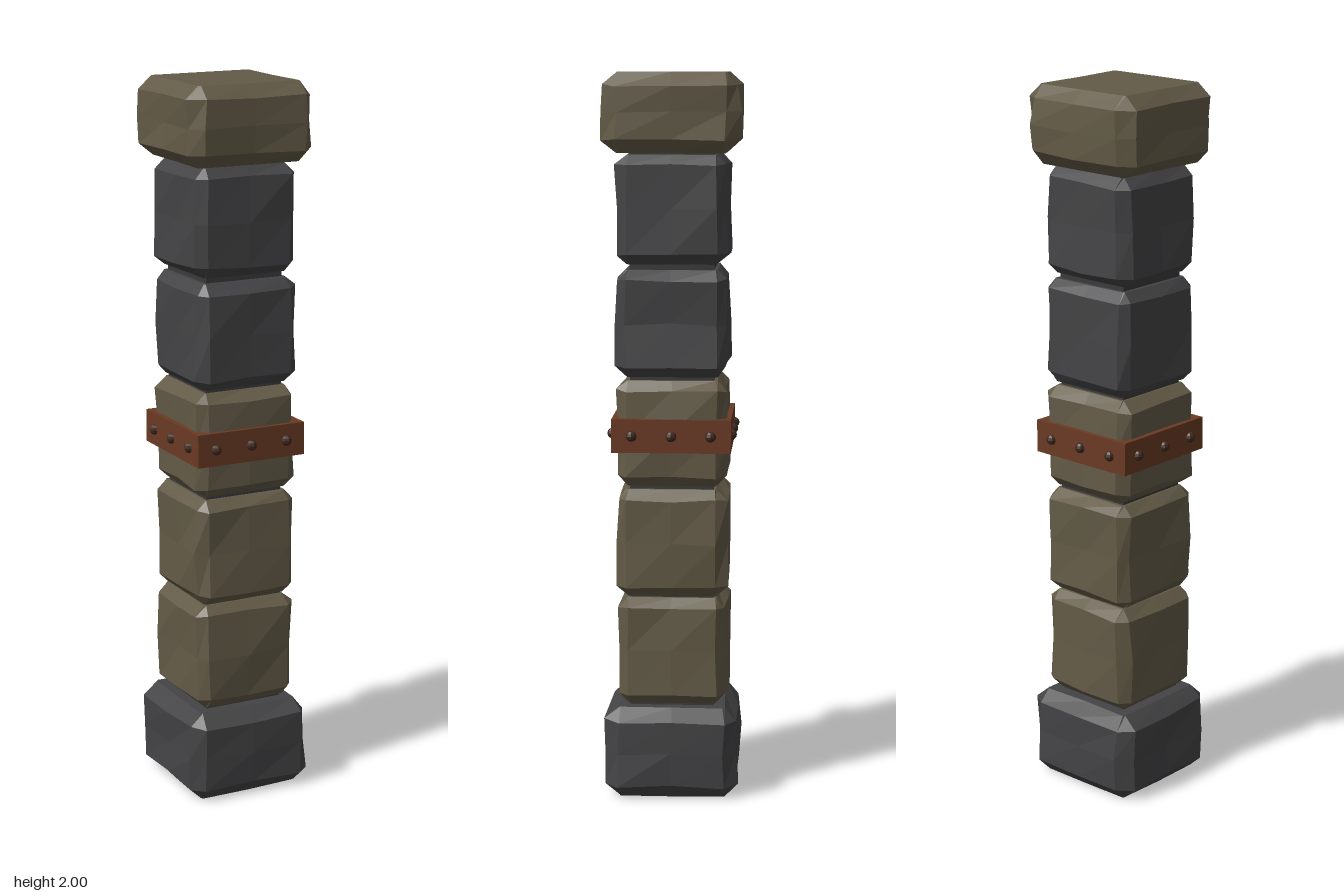
import * as THREE from 'three';

const material = (name, color) => {
  const m = new THREE.MeshStandardMaterial({ color });
  m.name = name;
  return m;
};

// Small seeded generator for the hand-hewn irregularity
function seeded(seed) {
  let s = seed;
  return () => {
    s = (s * 16807) % 2147483647;
    return s / 2147483647;
  };
}

// Faceted normals for every triangle
function faceted(geometry) {
  const g = geometry.index ? geometry.toNonIndexed() : geometry;
  g.computeVertexNormals();
  return g;
}

// Rough square block with bevelled edges, lofted from five rings of twelve points
function hewnBlock(y0, y1, half, bevel, rough, seed) {
  const rand = seeded(seed);
  const jitter = () => (rand() - 0.5) * 2 * rough;
  const mid = (y0 + y1) / 2;
  const rings = [
    { y: y0, end: true }, { y: y0 + bevel }, { y: mid },
    { y: y1 - bevel }, { y: y1, end: true },
  ];
  const positions = [];
  const index = [];
  const n = 12;
  rings.forEach(({ y, end }) => {
    const r = end ? half - bevel : half;
    const t = end ? r - 0.004 : half - bevel;
    for (let side = 0; side < 4; side++) {
      for (const along of [-t, 0, t]) {
        let x = r + jitter() * (end ? 0.5 : 1);
        let z = along + (end ? 0 : jitter() * 0.6);
        for (let k = 0; k < side; k++) [x, z] = [-z, x];
        positions.push(x, y + (end ? 0 : jitter() * 0.6), z);
      }
    }
  });
  for (let i = 0; i < rings.length - 1; i++) {
    for (let j = 0; j < n; j++) {
      const a = i * n + j;
      const b = i * n + ((j + 1) % n);
      index.push(a, a + n, b, b, a + n, b + n);
    }
  }
  // Flat ends
  positions.push(0, y0, 0, 0, y1, 0);
  const bottom = rings.length * n;
  const lastRing = bottom - n;
  for (let j = 0; j < n; j++) {
    const k = (j + 1) % n;
    index.push(bottom, j, k, bottom + 1, lastRing + k, lastRing + j);
  }
  const g = new THREE.BufferGeometry();
  g.setAttribute('position', new THREE.Float32BufferAttribute(positions, 3));
  g.setIndex(index);
  return faceted(g);
}

export function createModel() {
  const group = new THREE.Group();
  group.name = 'stonePillar';
  const tan = material('tanStone', 0x635b47);
  const dark = material('darkStone', 0x444446);
  const mortar = material('mortar', 0x3a3a3b);
  const rust = material('rustyIron', 0x6b3a24);
  const rivetIron = material('rivetIron', 0x40291f);

  const add = (name, geometry, mat, parent = group) => {
    const mesh = new THREE.Mesh(geometry, mat);
    mesh.name = name;
    parent.add(mesh);
    return mesh;
  };

  // Stacked stones: name, bottom, top, half width, bevel, material
  const stones = [
    ['baseStone', 0, 0.255, 0.182, 0.036, dark],
    ['shaftStone1', 0.262, 0.563, 0.15, 0.027, tan],
    ['shaftStone2', 0.567, 0.867, 0.15, 0.027, tan],
    ['shaftStone3', 0.877, 1.168, 0.15, 0.027, tan],
    ['shaftStone4', 1.178, 1.47, 0.151, 0.027, dark],
    ['shaftStone5', 1.485, 1.78, 0.15, 0.027, dark],
    ['capStone', 1.785, 2, 0.184, 0.036, tan],
  ];
  stones.forEach(([name, y0, y1, half, bevel, mat], i) => {
    add(name, hewnBlock(y0, y1, half, bevel, 0.007, 7919 * (i + 3)), mat);
  });

  // Core visible in the joints
  add('mortarCore', new THREE.BoxGeometry(0.23, 1.7, 0.23), mortar).position.y = 1.02;

  // Iron band with three rivets on each side
  const band = new THREE.Group();
  band.name = 'ironBand';
  band.position.y = 1.02;
  group.add(band);
  add('bandStrap', new THREE.BoxGeometry(0.326, 0.092, 0.326), rust, band);
  const rivet = faceted(new THREE.SphereGeometry(0.015, 8, 6));
  for (let side = 0; side < 4; side++) {
    const row = new THREE.Group();
    row.name = 'rivetRow';
    row.rotation.y = (side * Math.PI) / 2;
    band.add(row);
    for (const x of [-0.108, 0, 0.108]) {
      add('rivet', rivet, rivetIron, row).position.set(x, 0, 0.163);
    }
  }
  return group;
}
